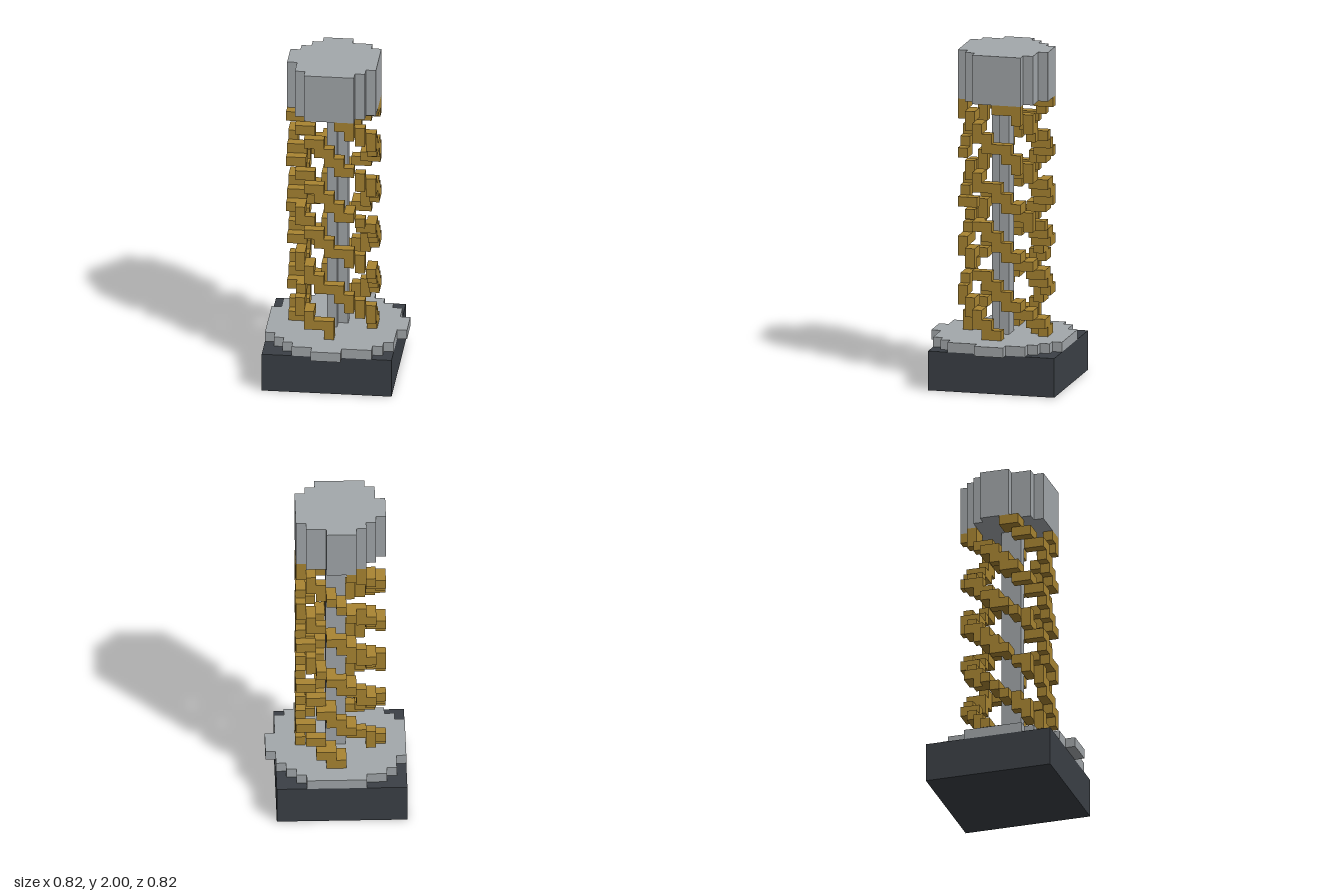
import * as THREE from 'three';
import { mergeGeometries } from 'three/addons/utils/BufferGeometryUtils.js';

const V = 2 / 34;      // cell size
const OFF = 0.25;      // round parts are centred a quarter cell off the middle cell
const key = (x, y, z) => `${x},${y},${z}`;

// Surface of a set of cells: one square for each exposed cell side
function voxelGeometry(cells) {
  const sides = [[1, 0, 0], [-1, 0, 0], [0, 1, 0], [0, -1, 0], [0, 0, 1], [0, 0, -1]].map((d) => {
    const dir = new THREE.Vector3(...d);
    const turn = new THREE.Quaternion().setFromUnitVectors(new THREE.Vector3(0, 0, 1), dir);
    if (d[2] === -1) turn.setFromAxisAngle(new THREE.Vector3(0, 1, 0), Math.PI);
    return { d, face: new THREE.PlaneGeometry(1, 1).applyQuaternion(turn).translate(d[0] / 2, d[1] / 2, d[2] / 2) };
  });
  const faces = [];
  for (const [x, y, z] of cells.values()) {
    for (const { d, face } of sides) {
      if (cells.has(key(x + d[0], y + d[1], z + d[2]))) continue;
      faces.push(face.clone().translate(x - 0.5, y + 0.5, z - 0.5));
    }
  }
  return mergeGeometries(faces).scale(V, V, V);
}

// Round column of cells between two layers
function disc(radiusSq, y0, y1) {
  const cells = new Map();
  for (let x = -8; x <= 8; x++) for (let z = -8; z <= 8; z++) {
    if ((x - OFF) ** 2 + (z - OFF) ** 2 >= radiusSq) continue;
    for (let y = y0; y < y1; y++) cells.set(key(x, y, z), [x, y, z]);
  }
  return cells;
}

// Cells lying close to a rising spiral
function helix(startAngle) {
  const R = 3.9, r = 0.72, pitch = 19.2, layers = 24, cells = new Map();
  for (let t = 0; t <= layers - 0.5; t += 0.05) {
    const a = startAngle + (t / pitch) * Math.PI * 2;
    const px = OFF + R * Math.cos(a), py = 5 + t, pz = OFF + R * Math.sin(a);
    const cx = Math.round(px), cy = Math.round(py), cz = Math.round(pz);
    for (let x = cx - 1; x <= cx + 1; x++) for (let z = cz - 1; z <= cz + 1; z++) {
      for (let y = Math.max(5, cy - 1); y <= Math.min(28, cy + 1); y++) {
        if (Math.hypot(x - px, y - py, z - pz) < r) cells.set(key(x, y, z), [x, y, z]);
      }
    }
  }
  return cells;
}

export function createModel() {
  const group = new THREE.Group();
  const material = (name, color) => {
    const m = new THREE.MeshStandardMaterial({ color });
    m.name = name;
    return m;
  };
  const grey = material('light grey', 0xa3a8ab);
  const gold = material('dull gold', 0xa98532);
  const dark = material('dark slate', 0x3b4046);
  const add = (name, geometry, mat) => {
    const mesh = new THREE.Mesh(geometry, mat);
    mesh.name = name;
    group.add(mesh);
  };

  // Square base
  add('base', new THREE.BoxGeometry(13 * V, 4 * V, 13 * V).translate(-V / 2, 2 * V, -V / 2), dark);

  // Round plate, thin core rod and cap
  add('plate', voxelGeometry(disc(48.1, 4, 5)), grey);
  add('coreRod', voxelGeometry(disc(0.9, 5, 29)), grey);
  add('cap', voxelGeometry(disc(20.1, 29, 34)), grey);

  // Four spiral strands around the rod
  for (let i = 0; i < 4; i++) {
    add(`spiralStrand${i + 1}`, voxelGeometry(helix(i * Math.PI / 2)), gold);
  }
  return group;
}
